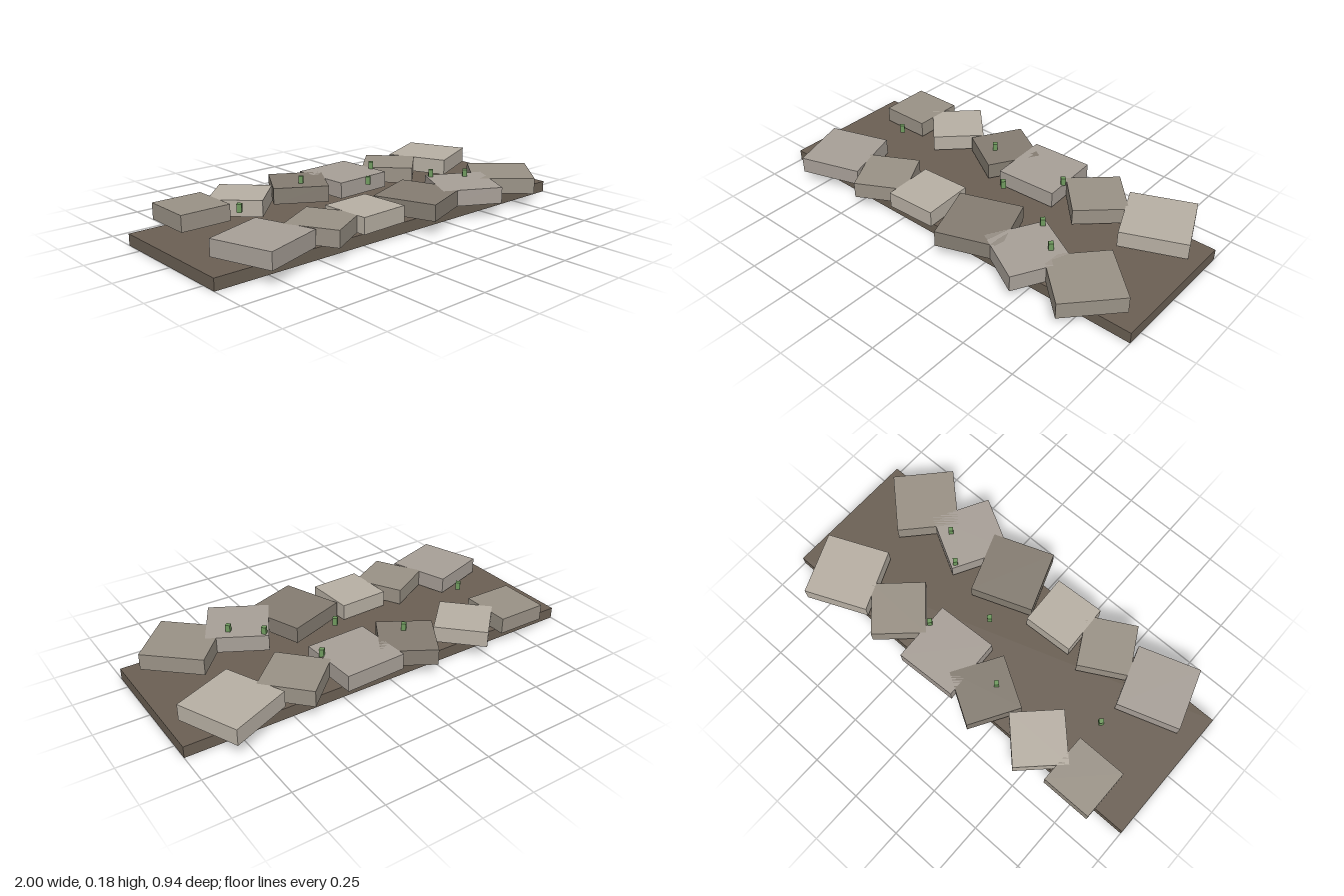
import * as THREE from 'three';

const material = (color) => new THREE.MeshStandardMaterial({ color, flatShading: true });

export function createModel() {
  const group = new THREE.Group();

  const add = (name, geometry, mat, x, y, z, degrees = 0) => {
    const mesh = new THREE.Mesh(geometry, mat);
    mesh.name = name;
    mesh.position.set(x, y, z);
    mesh.rotation.y = THREE.MathUtils.degToRad(degrees);
    group.add(mesh);
  };

  // Earth slab
  add('earthBase', new THREE.BoxGeometry(2, 0.054, 0.668), material(0x6b6054), 0, 0.027, -0.008);

  // Paving stones: x, z, width, depth, turn in degrees; four shades in rotation
  const shades = [0xa8a098, 0x9a9286, 0xb8b0a4, 0x857d72].map(material);
  const rows = {
    frontStone: [
      [-0.722, 0.257, 0.302, 0.3, 18.4],
      [-0.422, 0.259, 0.248, 0.248, 29],
      [-0.171, 0.243, 0.246, 0.246, 2.7],
      [0.152, 0.251, 0.305, 0.305, 20.3],
      [0.438, 0.267, 0.288, 0.288, -28.5],
      [0.725, 0.257, 0.297, 0.297, -42.5],
    ],
    backStone: [
      [-0.725, -0.283, 0.246, 0.246, 0],
      [-0.465, -0.283, 0.251, 0.251, -45.5],
      [-0.139, -0.273, 0.261, 0.261, -30.8],
      [0.123, -0.249, 0.3, 0.3, 2.7],
      [0.433, -0.243, 0.255, 0.255, -47],
      [0.746, -0.27, 0.309, 0.309, 23.5],
    ],
  };
  Object.entries(rows).forEach(([name, stones], row) => {
    stones.forEach(([x, z, width, depth, turn], i) => {
      add(name, new THREE.BoxGeometry(width, 0.077, depth), shades[(i + row) % 4], x, 0.1085, z, turn);
    });
  });

  // Moss tufts: small four-sided posts
  const tuft = new THREE.CylinderGeometry(0.0155, 0.0155, 0.038, 4);
  const moss = material(0x6f9a5e);
  const tufts = [[-0.628, -0.047], [-0.16, -0.222], [0.073, -0.005],
    [0.27, -0.202], [0.387, 0.103], [0.514, 0.211]];
  for (const [x, z] of tufts) add('mossTuft', tuft, moss, x, 0.162, z);

  return group;
}
